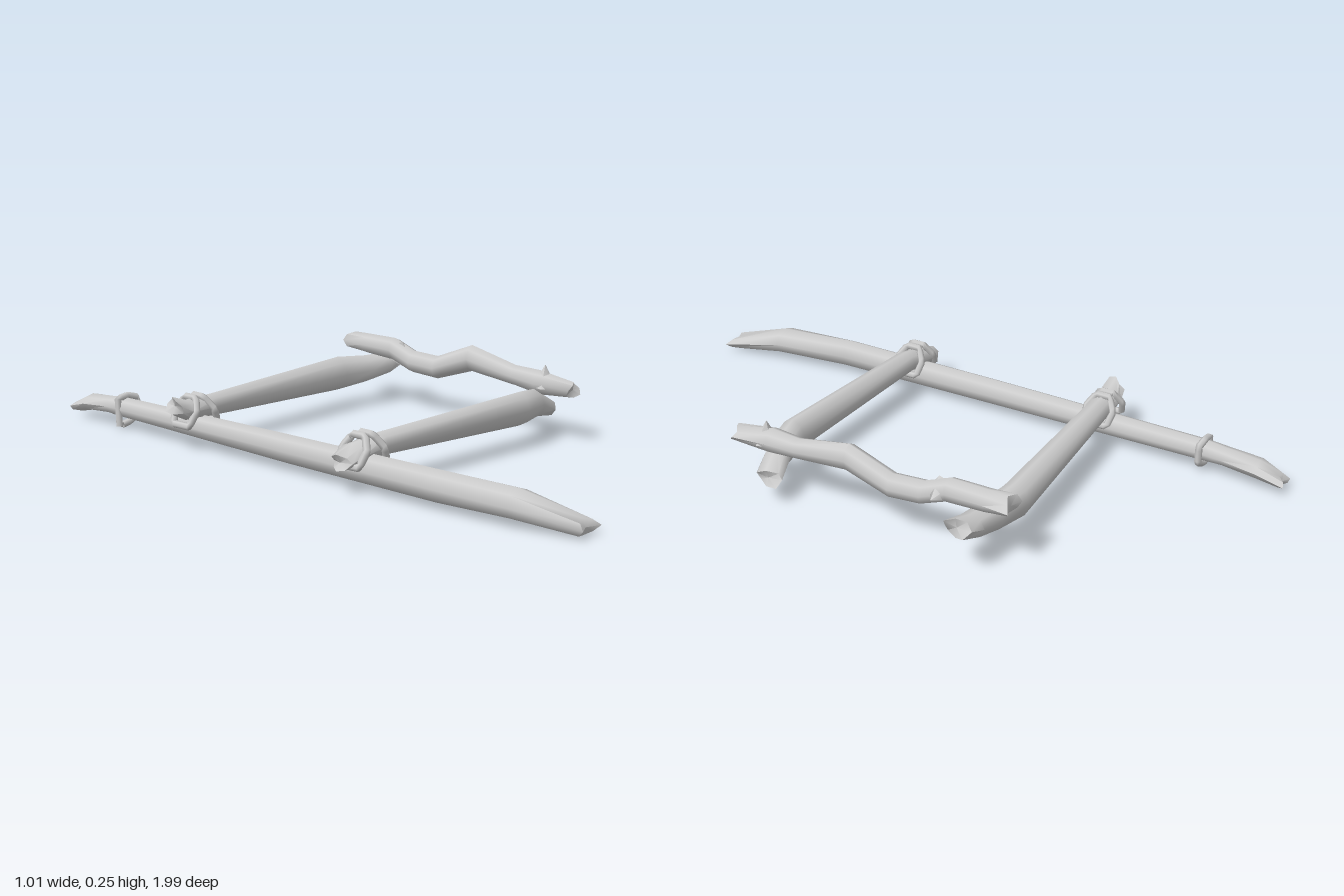
import * as THREE from 'three';
import { toCreasedNormals } from 'three/addons/utils/BufferGeometryUtils.js';

const SIDES = 8;

// Branch lofted through stations [x, y, z, halfWidth, halfHeight], rising along axis; ends are jagged by `jag`.
function branch(axis, stations, jag, phase) {
  const pos = [], index = [];
  const last = stations.length - 1;
  stations.forEach(([x, y, z, w, h], i) => {
    const end = i === 0 ? -1 : i === last ? 1 : 0;
    for (let j = 0; j < SIDES; j++) {
      const a = (j / SIDES) * Math.PI * 2;
      const k = end * jag * (Math.sin(2 * a + phase + i) - 1) * 0.5;
      const knob = 1 + (end ? 0.12 * Math.sin(3 * a + phase) : 0);
      if (axis === 'z') pos.push(x + w * knob * Math.cos(a), y + h * knob * Math.sin(a), z + k);
      else pos.push(x + k, y + h * knob * Math.cos(a), z + w * knob * Math.sin(a));
    }
  });
  for (let i = 0; i < last; i++) {
    for (let j = 0; j < SIDES; j++) {
      const a = i * SIDES + j, b = i * SIDES + (j + 1) % SIDES;
      index.push(a, b, a + SIDES, b, b + SIDES, a + SIDES);
    }
  }
  // broken end faces
  for (const i of [0, last]) {
    const [x, y, z] = stations[i];
    const d = (i ? -1 : 1) * jag * 0.6;
    const c = pos.length / 3;
    pos.push(x + (axis === 'x' ? d : 0), y, z + (axis === 'z' ? d : 0));
    for (let j = 0; j < SIDES; j++) {
      const a = i * SIDES + j, b = i * SIDES + (j + 1) % SIDES;
      if (i) index.push(c, a, b); else index.push(c, b, a);
    }
  }
  const g = new THREE.BufferGeometry();
  g.setAttribute('position', new THREE.Float32BufferAttribute(pos, 3));
  g.setIndex(index);
  return toCreasedNormals(g, 1.0);
}

// Closed rope through a few corner points
function rope(points, radius) {
  const path = new THREE.CurvePath();
  const v = points.map((p) => new THREE.Vector3(...p));
  v.forEach((p, i) => path.add(new THREE.LineCurve3(p, v[(i + 1) % v.length])));
  return new THREE.TubeGeometry(path, v.length * 4, radius, 6, true);
}

export function createModel() {
  const group = new THREE.Group();
  const wood = new THREE.MeshStandardMaterial({ color: 0xcccccc });
  wood.name = 'pale grey wood';
  const add = (name, geometry) => {
    const m = new THREE.Mesh(geometry, wood);
    m.name = name;
    group.add(m);
    return m;
  };

  // long ground pole
  add('longPole', branch('z', [
    [-0.38, 0.035, -1.0, 0.033, 0.017],
    [-0.383, 0.058, -0.91, 0.043, 0.027],
    [-0.388, 0.066, -0.8, 0.036, 0.028],
    [-0.391, 0.067, -0.74, 0.035, 0.033],
    [-0.405, 0.065, 0.0, 0.036, 0.043],
    [-0.41, 0.064, 0.55, 0.039, 0.046],
    [-0.391, 0.061, 0.8, 0.052, 0.042],
    [-0.353, 0.028, 0.997, 0.04, 0.023],
  ], 0.03, 1));

  // cross bars
  add('backCrossBar', branch('x', [
    [-0.51, 0.145, -0.385, 0.034, 0.027],
    [-0.45, 0.125, -0.387, 0.041, 0.031],
    [-0.35, 0.122, -0.392, 0.038, 0.034],
    [0.24, 0.121, -0.421, 0.046, 0.055],
    [0.35, 0.122, -0.402, 0.045, 0.045],
    [0.43, 0.13, -0.388, 0.043, 0.037],
    [0.507, 0.152, -0.378, 0.042, 0.03],
  ], 0.03, 0.5));
  add('frontCrossBar', branch('x', [
    [-0.505, 0.092, 0.277, 0.034, 0.023],
    [-0.45, 0.108, 0.283, 0.043, 0.031],
    [-0.35, 0.12, 0.293, 0.038, 0.034],
    [0.24, 0.119, 0.325, 0.042, 0.052],
    [0.34, 0.117, 0.304, 0.043, 0.043],
    [0.452, 0.083, 0.278, 0.045, 0.026],
  ], 0.03, 2));

  // crooked side bar resting on the cross bars
  add('sideBar', branch('z', [
    [0.395, 0.205, -0.505, 0.042, 0.027],
    [0.392, 0.2, -0.42, 0.036, 0.033],
    [0.39, 0.196, -0.3, 0.034, 0.037],
    [0.392, 0.165, -0.22, 0.034, 0.036],
    [0.395, 0.159, -0.12, 0.034, 0.037],
    [0.396, 0.208, 0.02, 0.033, 0.042],
    [0.387, 0.18, 0.2, 0.03, 0.032],
    [0.376, 0.174, 0.3, 0.037, 0.038],
    [0.382, 0.167, 0.433, 0.029, 0.024],
  ], 0.025, 1.5));

  // snapped twig stubs on the side bar
  const topStub = add('topStub', new THREE.ConeGeometry(0.04, 0.07, 5));
  topStub.position.set(0.375, 0.197, 0.32);
  const sideStub = add('sideStub', new THREE.ConeGeometry(0.042, 0.07, 5));
  sideStub.position.set(0.417, 0.185, -0.275);
  sideStub.rotation.z = -Math.PI / 2;

  // splayed rope lashings at the two joints
  for (const [name, z] of [['back', -0.392], ['front', 0.288]]) {
    for (const [suffix, topX, lowX] of [['A', -0.393, -0.35], ['B', -0.422, -0.463]]) {
      const midX = (topX + lowX) / 2;
      add(name + 'Lashing' + suffix, rope([
        [topX, 0.158, z - 0.022], [topX, 0.158, z + 0.022],
        [midX, 0.122, z + 0.045], [lowX, 0.08, z + 0.035],
        [lowX, 0.08, z - 0.035], [midX, 0.122, z - 0.045],
      ], 0.011));
    }
  }

  // loose rope ring near the back tip
  add('poleRing', rope([
    [-0.424, 0.014, -0.73], [-0.422, 0.1, -0.735], [-0.385, 0.106, -0.735],
    [-0.35, 0.095, -0.73], [-0.35, 0.04, -0.73], [-0.385, 0.022, -0.73],
  ], 0.011));

  return group;
}
